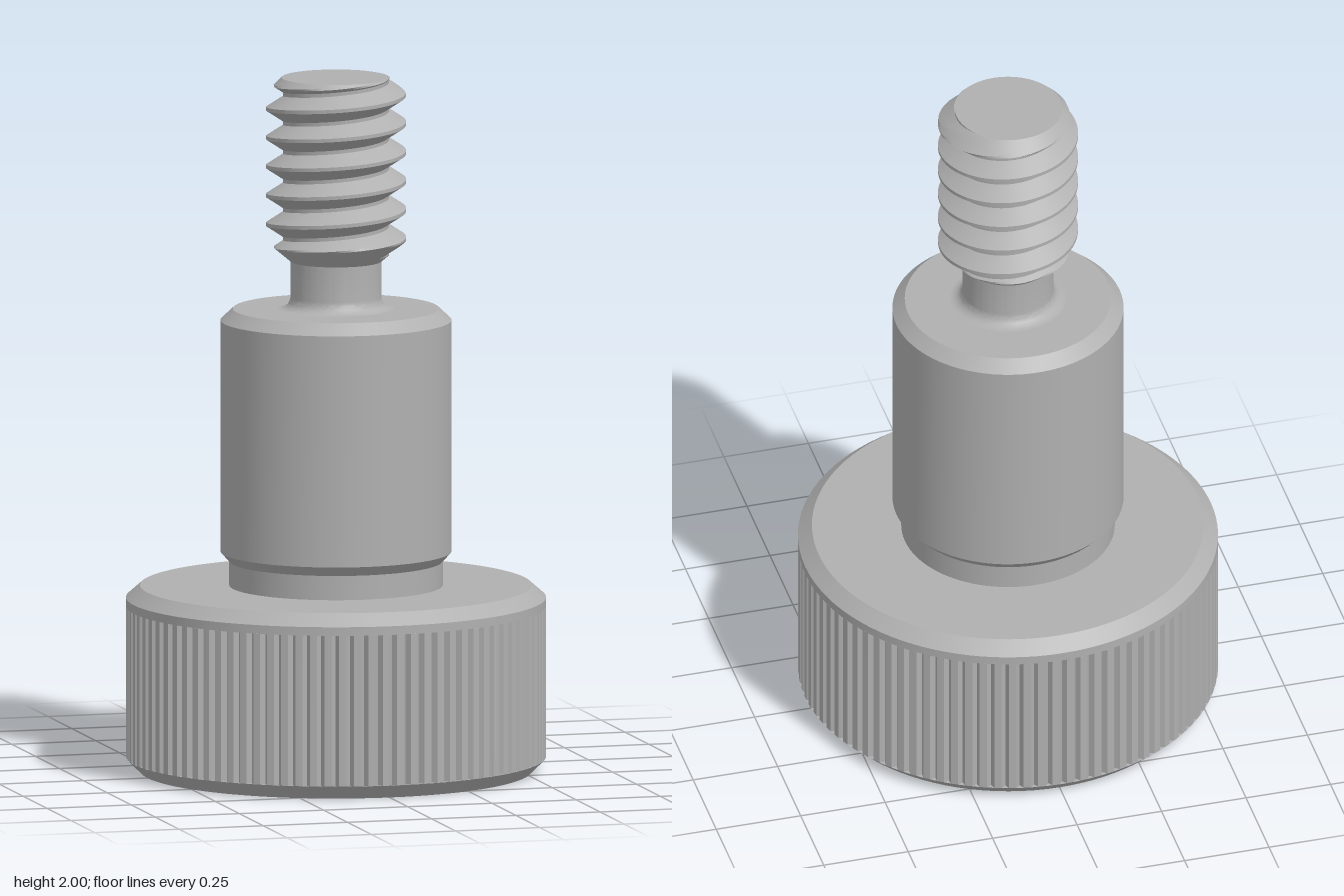
import * as THREE from 'three';
import { toCreasedNormals } from 'three/addons/utils/BufferGeometryUtils.js';

const TAU = Math.PI * 2;

// Surface through a stack of rings; each ring is [r, y] or a function of angle giving [r, y]
function loft(rings, segs) {
  const point = (ring, j) => {
    const t = (j / segs) * TAU;
    const [r, y] = typeof ring === 'function' ? ring(t, j % segs) : ring;
    return new THREE.Vector3(r * Math.cos(t), y, -r * Math.sin(t));
  };
  const pos = [];
  const tri = (a, b, c) => {
    if (a.distanceTo(b) < 1e-5 || b.distanceTo(c) < 1e-5 || a.distanceTo(c) < 1e-5) return;
    for (const p of [a, b, c]) pos.push(p.x, p.y, p.z);
  };
  for (let i = 0; i < rings.length - 1; i++) {
    for (let j = 0; j < segs; j++) {
      const a = point(rings[i], j), b = point(rings[i], j + 1);
      const c = point(rings[i + 1], j + 1), d = point(rings[i + 1], j);
      tri(a, b, c);
      tri(a, c, d);
    }
  }
  const geo = new THREE.BufferGeometry();
  geo.setAttribute('position', new THREE.Float32BufferAttribute(pos, 3));
  return toCreasedNormals(geo, 0.4);
}

// Hex socket with a countersunk round mouth, opening downward; corners on the z axis
function socketGeometry(R, depth) {
  const hexR = (t) => {
    const a = (t + Math.PI / 6) % (Math.PI / 3);
    return (R * Math.cos(Math.PI / 6)) / Math.cos(a - Math.PI / 3 + Math.PI / 6);
  };
  return loft([
    [0, depth],
    (t) => [hexR(t), depth],
    (t) => [hexR(t), (R - hexR(t)) * 0.8],
    [R, 0],
  ], 96);
}

// Straight V-groove knurling between two plain edges
function knurlGeometry(teeth) {
  const groove = (y) => (t, j) => [j % 4 === 2 ? 0.586 : 0.6, y];
  return loft([[0.6, 0.04], groove(0.04), groove(0.475), [0.6, 0.475]], teeth * 4);
}

// Right-handed helical thread, trimmed by a cone at both ends
function threadGeometry(y0, y1, major, minor, pitch) {
  const steps = 16;
  const profile = (u) => {
    const d = Math.abs(u - Math.round(u));
    const k = THREE.MathUtils.clamp((d - 0.0625) / (0.4375 - 0.0625), 0, 1);
    return major + (minor - major) * k;
  };
  const rings = [[0, y0]];
  const first = Math.floor((y0 - 1.955) / pitch) - 2;
  const last = Math.ceil((y1 - 1.955) / pitch) + 1;
  for (let k = first * steps; k <= last * steps; k++) {
    rings.push((t) => {
      const y = THREE.MathUtils.clamp(1.955 + pitch * (k / steps + t / TAU), y0, y1);
      const u = (y - 1.955) / pitch - t / TAU;
      return [Math.min(profile(u), 0.155 + (y1 - y), 0.13 + (y - y0) * 1.2), y];
    });
  }
  rings.push([0, y1]);
  return loft(rings, 96);
}

export function createModel() {
  const group = new THREE.Group();
  const steel = new THREE.MeshStandardMaterial({ color: 0xb0b0b0 });
  steel.name = 'steel';
  const add = (name, geo) => {
    const mesh = new THREE.Mesh(geo, steel);
    mesh.name = name;
    group.add(mesh);
  };

  // Head: underside with socket, knurled band, chamfered top
  add('hexSocket', socketGeometry(0.2, 0.27));
  add('headBase', loft([[0.2, 0], [0.56, 0], [0.6, 0.04]], 96));
  add('knurledBand', knurlGeometry(90));
  add('headTop', loft([[0.6, 0.475], [0.6, 0.5], [0.56, 0.535], [0.305, 0.535]], 96));

  // Undercut and shoulder with chamfered ends
  add('shoulder', loft([
    [0.305, 0.535], [0.305, 0.605], [0.33, 0.633], [0.33, 1.3], [0.295, 1.333], [0.165, 1.333],
  ], 96));

  // Thread relief with a fillet at its foot
  const neck = [];
  for (let i = 0; i <= 6; i++) {
    const a = (i / 6) * Math.PI / 2;
    neck.push([0.165 - 0.035 * Math.sin(a), 1.368 - 0.035 * Math.cos(a)]);
  }
  neck.push([0.13, 1.47]);
  add('neck', loft(neck, 96));

  add('thread', threadGeometry(1.47, 2, 0.2, 0.152, 0.0833));
  return group;
}
